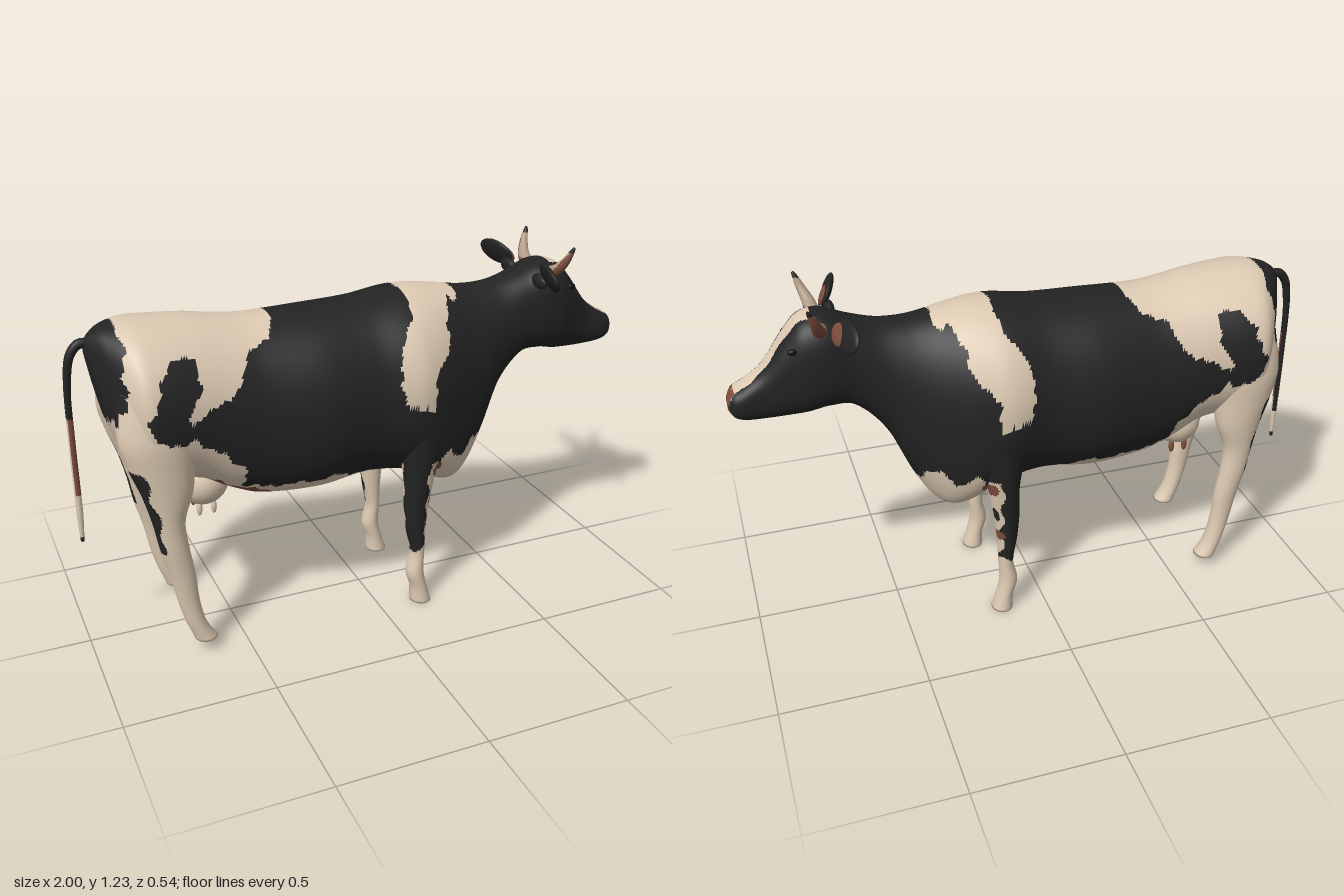
import * as THREE from 'three';

const mat = (name, color) => Object.assign(new THREE.MeshStandardMaterial({ color }), { name });
const black = mat('black coat', 0x232323);
const cream = mat('cream coat', 0xdcc9b2);
const brown = mat('brown skin', 0x7d4c3c);
const horn = mat('horn', 0xb09a86);
const eyeBlack = mat('eye', 0x0c0c0c);
const MATS = [black, cream, brown];
const BLACK = 0, CREAM = 1, BROWN = 2;

// Coat patches as side outlines (x, y)
const SADDLE = [[-0.83, 1.3], [-0.33, 1.3], [-0.34, 1.085], [-0.45, 1], [-0.53, 0.9], [-0.64, 0.86],
  [-0.65, 0.79], [-0.54, 0.71], [-0.48, 0.64], [-0.47, 0.56], [-0.3, 0.55], [-0.15, 0.56], [0, 0.51],
  [0.05, 0.47], [0.17, 0.46], [0.17, -0.1], [-1.1, -0.1], [-1.1, 0.76], [-0.88, 0.82], [-0.845, 0.9], [-0.83, 1.05]];
const HIP_SPOT = [[-0.7, 0.77], [-0.76, 0.8], [-0.785, 0.87], [-0.74, 0.99], [-0.67, 1.045], [-0.61, 1.05],
  [-0.62, 0.96], [-0.65, 0.9], [-0.655, 0.85], [-0.62, 0.85], [-0.62, 0.8], [-0.66, 0.8]];
const STRIPE = [[0.14, 1.3], [0.325, 1.3], [0.325, 1.09], [0.3, 1.085], [0.285, 1.1], [0.265, 1.06], [0.25, 0.96],
  [0.18, 0.89], [0.155, 0.77], [0.06, 0.785], [0.055, 0.88], [0.045, 0.96], [0.1, 1.02], [0.13, 1.1]];
const CHEST = [[0.17, -0.1], [0.17, 0.5], [0.25, 0.585], [0.31, 0.55], [0.36, 0.6], [0.4, 0.59], [0.42, 0.535], [0.5, 0.53], [0.5, -0.1]];
const FLANK = [[-0.56, 0.59], [-0.5, 0.56], [-0.36, 0.51], [-0.36, 0.48], [-0.55, 0.5]];

function inside(poly, x, y) {
  let hit = false;
  poly.forEach(([ax, ay], i) => {
    const [bx, by] = poly[(i + 1) % poly.length];
    if (ay > y !== by > y && x < ax + ((bx - ax) * (y - ay)) / (by - ay)) hit = !hit;
  });
  return hit;
}

// Coat colour at a point; the outlines get a small ragged wobble
function coat({ x, y, z }) {
  const side = Math.abs(z);
  if (x > 0.972 && y < 0.93 && y > 0.853 && side < 0.038) return BROWN;
  if (x > 0.71) {
    const half = 0.029 + 0.7 * (x - 0.86) ** 2 + 0.003 * Math.sin(90 * x);
    return y > 0.91 && side < half ? CREAM : BLACK;
  }
  const u = x + 0.007 * Math.sin(43 * y + 2) + 0.005 * Math.sin(110 * y + 9 * x);
  const v = y + 0.007 * Math.sin(47 * x) + 0.005 * Math.sin(120 * x + 1);
  if (Math.hypot(x - 0.2, y - 0.525) < 0.024 && side > 0.2) return BROWN;
  if (inside(FLANK, u, v)) return BROWN;
  if (inside(HIP_SPOT, u, v)) return BLACK;
  return [SADDLE, STRIPE, CHEST].some((p) => inside(p, u, v)) ? CREAM : BLACK;
}

function foreLegCoat(p) {
  const side = Math.abs(p.z);
  if (p.y > 0.56) return coat(p);
  if (Math.hypot(p.x - 0.2, p.y - 0.525) < 0.026 && side > 0.205) return BROWN;
  const ragged = 0.008 * Math.sin(60 * p.y);
  if (p.y < 0.22 + 0.01 * Math.sin(90 * p.x)) return CREAM;
  if (p.x > 0.15 && Math.hypot(side - 0.21, p.y - 0.325) < 0.02) return BROWN;
  if (p.x > 0.15 && Math.hypot(side - 0.213, (p.y - 0.415) * 0.5) < 0.014) return BLACK;
  if (side < 0.19 + ragged) return CREAM;
  return p.x > 0.16 + ragged && p.y > 0.24 ? CREAM : BLACK;
}

function hindLegCoat(p) {
  const streak = p.y > 0.4 && p.y < 0.7 && Math.abs(p.z) > 0.17;
  const back = -0.768 - 0.22 * Math.max(0, p.y - 0.48) + 0.008 * Math.sin(50 * p.y);
  return streak && p.x < back ? BLACK : coat(p);
}

// Black on the right, cream behind, brown on the left
function tailCoat({ x, y, z }) {
  if (y > 0.83 || y < 0.405) return BLACK;
  if (z < -0.003 && x > -0.992 && y > 0.5) return BLACK;
  return y > 0.56 && x > -0.995 ? BROWN : CREAM;
}

// Horn colours: 0 horn, 1 brown outer side, 2 black tip
function hornCoat({ y, z }) {
  if (y > 1.215) return 2;
  return y < 1.14 || Math.abs(z) > 0.117 + 0.58 * (y - 1.145) ? 1 : 0;
}

// Smooth interpolation of table rows keyed by their first column
function sample(table, t) {
  let i = 0;
  const n = table.length, dir = Math.sign(table[n - 1][0] - table[0][0]);
  while (i < n - 2 && (t - table[i + 1][0]) * dir > 0) i++;
  const a = table[i], b = table[i + 1], h = b[0] - a[0], s = (t - a[0]) / h;
  const slope = (k, c) => {
    const p = table[Math.max(0, k - 1)], q = table[Math.min(n - 1, k + 1)];
    return (q[c] - p[c]) / (q[0] - p[0]);
  };
  return a.map((_, c) => (1 + 2 * s) * (1 - s) ** 2 * a[c] + s * (1 - s) ** 2 * h * slope(i, c)
    + s * s * (3 - 2 * s) * b[c] + s * s * (s - 1) * h * slope(i + 1, c));
}

// Skin over closed rings with capped ends, faces grouped by colour
function skin(name, rings, colourOf, materials = MATS) {
  const cap = (ring) => {
    const c = ring.reduce((sum, p) => sum.add(p), new THREE.Vector3()).divideScalar(ring.length);
    return ring.map(() => c.clone());
  };
  const rows = [cap(rings[0]), ...rings, cap(rings[rings.length - 1])];
  const m = rings[0].length, pts = rows.flat(), faces = materials.map(() => []);
  const mid = new THREE.Vector3();
  for (let i = 0; i < rows.length - 1; i++) {
    for (let j = 0; j < m; j++) {
      const a = i * m + j, b = i * m + ((j + 1) % m), c = a + m, d = b + m;
      for (const tri of [[a, b, c], [b, d, c]]) {
        mid.set(0, 0, 0);
        tri.forEach((k) => mid.addScaledVector(pts[k], 1 / 3));
        faces[colourOf(mid)].push(...tri);
      }
    }
  }
  const geo = new THREE.BufferGeometry().setFromPoints(pts);
  geo.setIndex(faces.flat());
  let start = 0;
  faces.forEach((f, k) => {
    if (f.length) geo.addGroup(start, f.length, k);
    start += f.length;
  });
  geo.computeVertexNormals();
  return Object.assign(new THREE.Mesh(geo, materials), { name });
}

const range = (n, fn) => Array.from({ length: n }, (_, i) => fn(i));
const bulge = (v, n) => Math.sign(v) * Math.abs(v) ** (2 / n);

// Trunk, neck and head: x, top, bottom, half width
const TRUNK = [[-0.922, 1.08, 1.03, 0.02], [-0.905, 1.1, 0.935, 0.055], [-0.87, 1.122, 0.785, 0.13],
  [-0.8, 1.135, 0.64, 0.235], [-0.74, 1.135, 0.605, 0.25], [-0.6, 1.125, 0.575, 0.235], [-0.5, 1.11, 0.52, 0.233],
  [-0.4, 1.1, 0.48, 0.236], [-0.2, 1.102, 0.468, 0.26], [-0.02, 1.11, 0.487, 0.25], [0.12, 1.127, 0.475, 0.272],
  [0.2, 1.127, 0.44, 0.257], [0.3, 1.115, 0.405, 0.218], [0.36, 1.105, 0.435, 0.19], [0.42, 1.1, 0.53, 0.163],
  [0.5, 1.105, 0.71, 0.13], [0.6, 1.13, 0.825, 0.113], [0.68, 1.16, 0.838, 0.117], [0.75, 1.15, 0.825, 0.107],
  [0.8, 1.1, 0.82, 0.088], [0.88, 0.995, 0.818, 0.066], [0.95, 0.945, 0.825, 0.064], [0.985, 0.925, 0.84, 0.054],
  [1, 0.895, 0.865, 0.03]];

// Legs from the top down: y, centre x, centre z, radius x, radius z
const FORE_LEG = [[0.85, 0.16, 0.17, 0.1, 0.06], [0.7, 0.155, 0.178, 0.09, 0.08], [0.6, 0.15, 0.187, 0.075, 0.07],
  [0.5, 0.145, 0.193, 0.056, 0.054], [0.4, 0.136, 0.195, 0.046, 0.043], [0.3, 0.135, 0.196, 0.036, 0.036],
  [0.2, 0.141, 0.197, 0.026, 0.033], [0.12, 0.133, 0.2, 0.032, 0.036], [0.06, 0.147, 0.2, 0.03, 0.037],
  [0, 0.157, 0.2, 0.038, 0.042]];
const HIND_LEG = [[0.95, -0.74, 0.13, 0.12, 0.09], [0.8, -0.75, 0.16, 0.125, 0.085], [0.7, -0.745, 0.17, 0.107, 0.075],
  [0.6, -0.735, 0.18, 0.082, 0.06], [0.5, -0.739, 0.186, 0.053, 0.046], [0.4, -0.727, 0.19, 0.047, 0.04],
  [0.3, -0.707, 0.19, 0.042, 0.035], [0.2, -0.694, 0.19, 0.036, 0.032], [0.12, -0.676, 0.19, 0.033, 0.035],
  [0.08, -0.66, 0.19, 0.034, 0.037], [0.045, -0.643, 0.19, 0.039, 0.04]];

// Rounded trunk: softer above, squarer below around the brisket
function trunk() {
  const rings = range(241, (i) => {
    const [x, top, bottom, w] = sample(TRUNK, -0.922 + (1.922 * i) / 240);
    const head = THREE.MathUtils.smoothstep(x, 0.5, 0.66);
    const above = 2 + 0.6 * head;
    const below = 2.3 + 0.3 * head + 0.7 * Math.exp(-(((x - 0.28) / 0.12) ** 2));
    return range(120, (j) => {
      const a = (j / 120) * Math.PI * 2, n = Math.cos(a) > 0 ? above : below;
      return new THREE.Vector3(x, (top + bottom) / 2 + ((top - bottom) / 2) * bulge(Math.cos(a), n),
        w * bulge(Math.sin(a), n));
    });
  });
  return skin('body', rings, coat);
}

function leg(name, table, side, colourOf) {
  const y0 = table[0][0], y1 = table[table.length - 1][0];
  const rings = range(111, (i) => {
    const [y, cx, cz, rx, rz] = sample(table, y0 + ((y1 - y0) * i) / 110);
    return range(48, (j) => {
      const a = (j / 48) * Math.PI * 2;
      return new THREE.Vector3(cx + rx * Math.cos(a), y, side * cz + rz * Math.sin(a));
    });
  });
  return skin(name, rings, colourOf);
}

// Tube along a curve with a varying radius
function taperedTube(name, points, radius, steps, colourOf, materials) {
  const curve = new THREE.CatmullRomCurve3(points.map((p) => new THREE.Vector3(...p)));
  const { normals, binormals } = curve.computeFrenetFrames(steps);
  const rings = range(steps + 1, (i) => range(16, (j) => {
    const a = (j / 16) * Math.PI * 2, r = radius(i / steps);
    return curve.getPointAt(i / steps).addScaledVector(normals[i], r * Math.cos(a))
      .addScaledVector(binormals[i], r * Math.sin(a));
  }));
  return skin(name, rings, colourOf, materials);
}

function ball(name, material, pos, scale) {
  const mesh = Object.assign(new THREE.Mesh(new THREE.SphereGeometry(1, 28, 20), material), { name });
  mesh.position.set(...pos);
  mesh.scale.set(...scale);
  return mesh;
}

export function createModel() {
  const model = new THREE.Group();
  model.name = 'cow';
  model.add(trunk());
  for (const s of [1, -1]) {
    model.add(leg('foreleg', FORE_LEG, s, foreLegCoat), leg('hindLeg', HIND_LEG, s, hindLegCoat));
    // Ear leaning back, with a bare inner patch and a short root
    const ear = new THREE.Group();
    ear.name = 'ear';
    ear.position.set(0.628, 1.146, s * 0.183);
    ear.rotation.set(0, -0.22 * s, 0.4);
    ear.add(ball('earShell', black, [0, 0, 0], [0.016, 0.05, 0.083]),
      ball('innerEar', brown, [0.01, -0.009, -0.035 * s], [0.009, 0.035, 0.046]));
    model.add(ear, ball('earRoot', black, [0.637, 1.112, s * 0.108], [0.018, 0.026, 0.045]));
    // Horn sweeping out and up
    model.add(taperedTube('horn',
      [[0.695, 1.125, 0.075 * s], [0.7, 1.145, 0.11 * s], [0.715, 1.18, 0.14 * s], [0.735, 1.232, 0.16 * s]],
      (t) => 0.021 * (1 - t) ** 0.7 + 0.004, 30, hornCoat, [horn, brown, black]));
    model.add(ball('eye', eyeBlack, [0.785, 1.068, s * 0.083], [0.016, 0.01, 0.009]));
    for (const x of [-0.6, -0.55]) model.add(ball('teat', s > 0 ? cream : brown, [x, 0.45, s * 0.04], [0.01, 0.028, 0.01]));
  }
  model.add(ball('udder', cream, [-0.575, 0.54, 0], [0.09, 0.088, 0.095]));
  // Tail arching over the rump and hanging down
  model.add(taperedTube('tail',
    [[-0.885, 1.03, 0], [-0.905, 1.066, 0], [-0.935, 1.072, 0], [-0.965, 1.04, 0], [-0.983, 0.95, 0], [-0.988, 0.75, 0], [-0.988, 0.55, 0], [-0.989, 0.39, 0]],
    (t) => 0.018 - 0.007 * Math.min(1, t * 3) - 0.005 * Math.max(0, t * 8 - 7), 90, tailCoat));
  return model;
}
